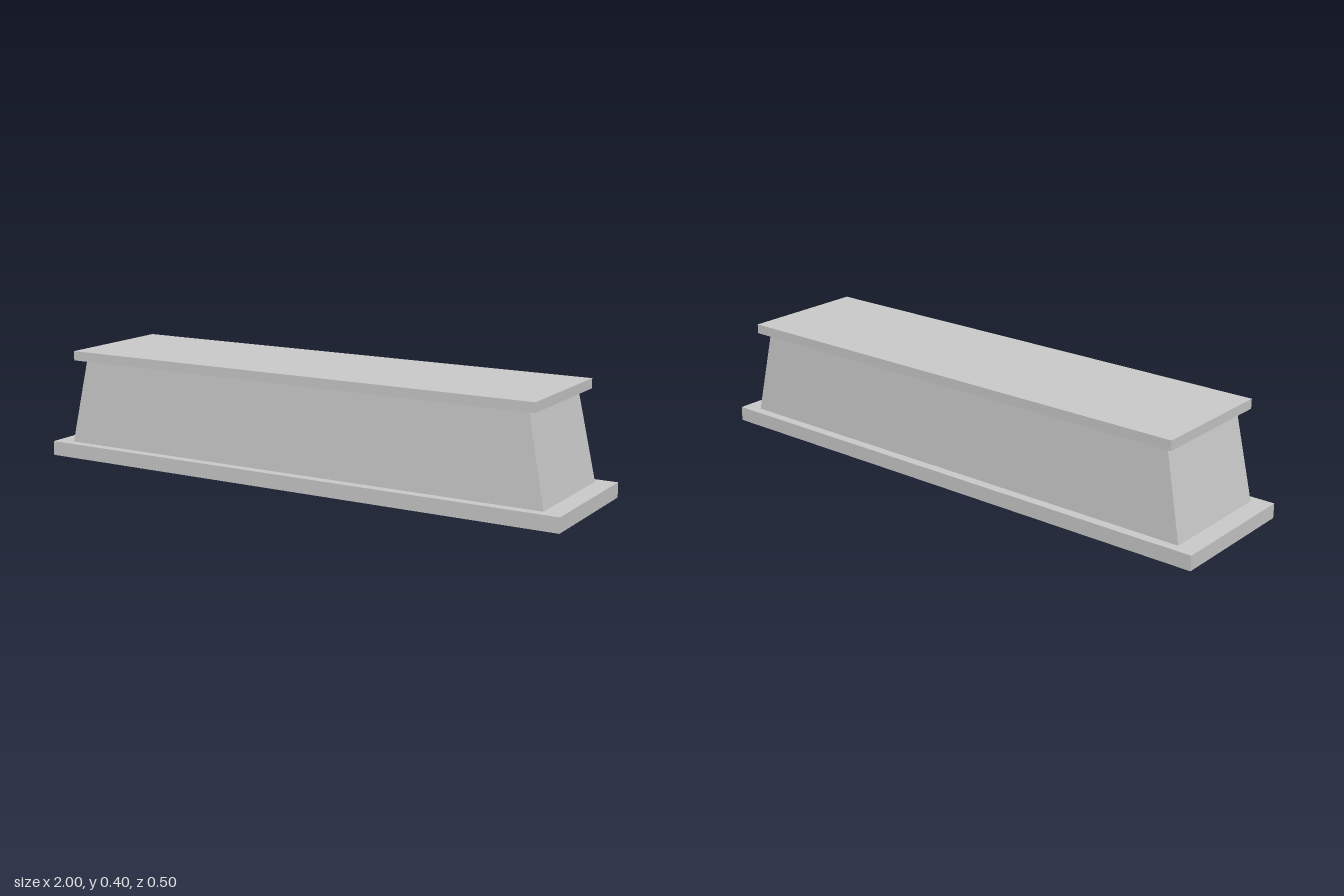
import * as THREE from 'three';

const material = new THREE.MeshStandardMaterial({ color: 0xcccccc, flatShading: true });

// Box between two heights, with separate half sizes at the bottom and top
function taperedBlock(name, y0, y1, [x0, z0], [x1, z1]) {
  const geometry = new THREE.BoxGeometry(2, y1 - y0, 2);
  const p = geometry.attributes.position;
  for (let i = 0; i < p.count; i++) {
    const top = p.getY(i) > 0;
    p.setX(i, p.getX(i) * (top ? x1 : x0));
    p.setZ(i, p.getZ(i) * (top ? z1 : z0));
  }
  geometry.translate(0, (y0 + y1) / 2, 0);
  geometry.computeVertexNormals();
  const mesh = new THREE.Mesh(geometry, material);
  mesh.name = name;
  return mesh;
}

export function createModel() {
  const group = new THREE.Group();
  group.name = 'plinth';
  group.add(
    // Wide slab on the ground
    taperedBlock('baseSlab', 0, 0.052, [1, 0.249], [1, 0.249]),
    // Body leaning inward, more at the ends than along the sides
    taperedBlock('taperedBody', 0.052, 0.361, [0.932, 0.215], [0.868, 0.201]),
    // Overhanging cap
    taperedBlock('topSlab', 0.361, 0.395, [0.902, 0.233], [0.902, 0.233])
  );
  return group;
}
